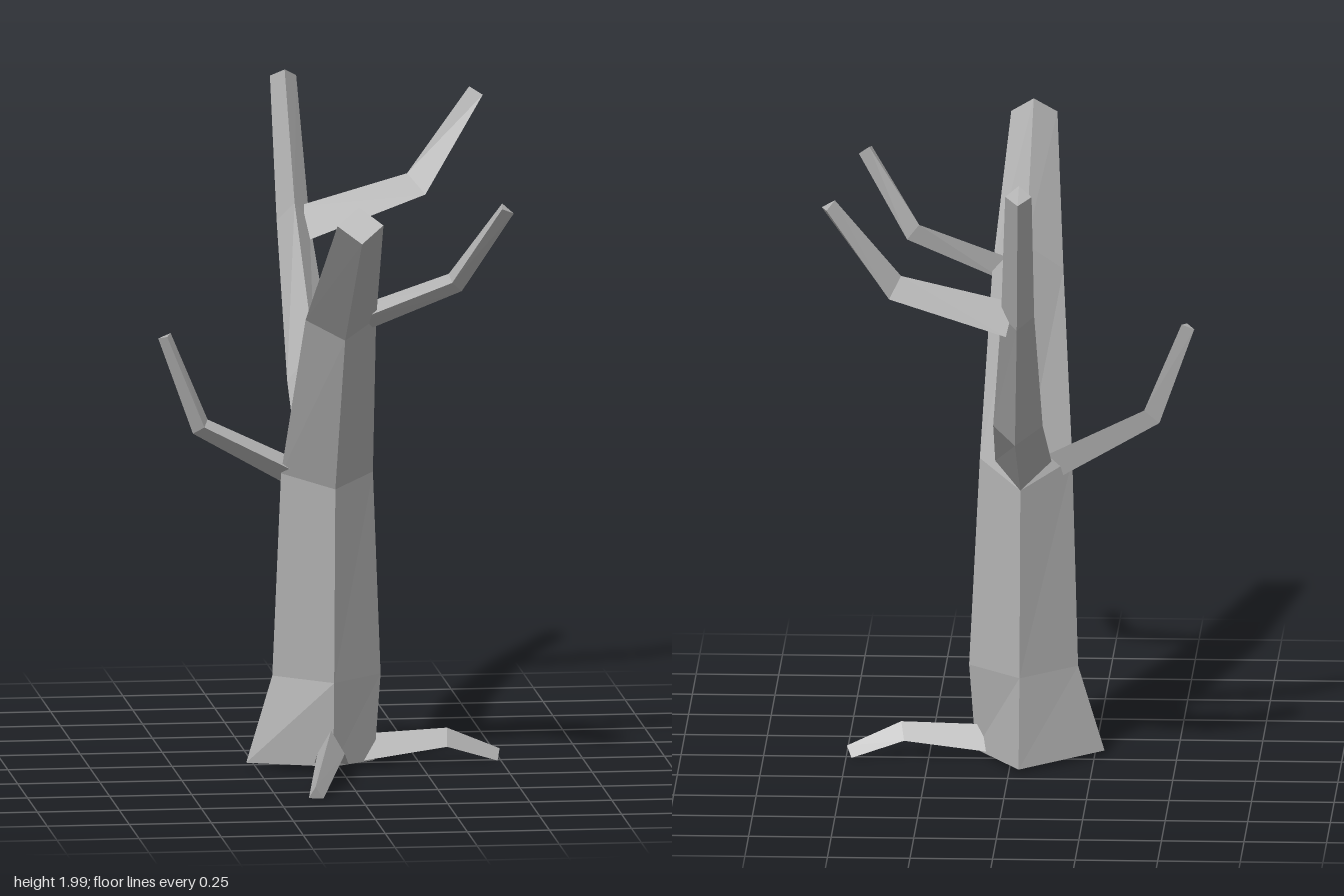
import * as THREE from 'three';

// Closed faceted skin through matching rings (each ring counterclockwise about its direction of travel)
function loft(rings) {
  const pos = [];
  const tri = (a, b, c) => pos.push(...a.toArray(), ...b.toArray(), ...c.toArray());
  const n = rings[0].length;
  for (let k = 0; k < rings.length - 1; k++) {
    const a = rings[k], b = rings[k + 1];
    for (let i = 0; i < n; i++) {
      const j = (i + 1) % n;
      tri(a[i], a[j], b[j]);
      tri(a[i], b[j], b[i]);
    }
  }
  const first = rings[0], last = rings[rings.length - 1];
  for (let i = 1; i < n - 1; i++) {
    tri(first[0], first[i + 1], first[i]);
    tri(last[0], last[i], last[i + 1]);
  }
  const g = new THREE.BufferGeometry();
  g.setAttribute('position', new THREE.Float32BufferAttribute(pos, 3));
  g.computeVertexNormals();
  return g;
}

// Diamond section: centre x, side corners, then (y, z) of front, sides and back
function diamond([x, xMin, xMax, yF, zF, yS, zS, yB, zB]) {
  return [
    new THREE.Vector3(x, yF, zF),
    new THREE.Vector3(xMax, yS, zS),
    new THREE.Vector3(x, yB, zB),
    new THREE.Vector3(xMin, yS, zS),
  ];
}

// Three-sided sections along a bent path of [x, y, z, radius]
function twigRings(path, phase) {
  const pts = path.map(([x, y, z]) => new THREE.Vector3(x, y, z));
  const up = new THREE.Vector3(0, 1, 0);
  return pts.map((p, k) => {
    const t = new THREE.Vector3();
    if (k > 0) t.add(p.clone().sub(pts[k - 1]).normalize());
    if (k < pts.length - 1) t.add(pts[k + 1].clone().sub(p).normalize());
    t.normalize();
    const side = up.clone().cross(t).normalize();
    const top = t.clone().cross(side);
    return [0, 120, 240].map((d) => {
      const a = THREE.MathUtils.degToRad(phase + d);
      return p.clone()
        .addScaledVector(side, path[k][3] * Math.cos(a))
        .addScaledVector(top, path[k][3] * Math.sin(a));
    });
  });
}

export function createModel() {
  const tree = new THREE.Group();
  tree.name = 'bareTree';
  const bark = new THREE.MeshStandardMaterial({ color: 0xb0b0b0, flatShading: true });
  bark.name = 'bark';

  const add = (name, rings) => {
    const mesh = new THREE.Mesh(loft(rings), bark);
    mesh.name = name;
    tree.add(mesh);
  };

  // Trunk with flared foot, continuing into the thick forward limb
  add('trunkAndFrontLimb', [
    [-0.03, -0.28, 0.11, 0.03, 0.18, 0.025, 0.05, 0.02, -0.18],
    [-0.03, -0.20, 0.13, 0.29, 0.20, 0.29, 0.045, 0.29, -0.12],
    [-0.03, -0.18, 0.10, 0.89, 0.23, 0.92, 0.10, 0.86, -0.06],
    [-0.03, -0.14, 0.075, 1.39, 0.48, 1.44, 0.39, 1.53, 0.33],
    [-0.03, -0.10, 0.04, 1.76, 0.91, 1.81, 0.87, 1.86, 0.83],
  ].map(diamond));

  // Long limb rising to the back; its upper edge faces front
  add('backLimb', [
    [-0.03, -0.12, 0.05, 1.05, 0.03, 0.93, 0.03, 0.86, -0.06],
    [-0.03, -0.11, 0.04, 1.22, -0.31, 1.13, -0.33, 1.09, -0.42],
    [-0.05, -0.10, 0.00, 1.62, -0.64, 1.56, -0.68, 1.53, -0.74],
    [-0.06, -0.10, -0.02, 2.00, -0.81, 1.975, -0.85, 1.96, -0.905],
  ].map(diamond));

  // Thin side branches
  add('backLimbBranch', twigRings([
    [-0.02, 1.54, -0.68, 0.065], [0.33, 1.65, -0.72, 0.05], [0.52, 1.925, -0.79, 0.028],
  ], 90));
  add('frontLimbBranch', twigRings([
    [0.02, 1.44, 0.40, 0.045], [0.31, 1.55, 0.415, 0.038], [0.46, 1.785, 0.48, 0.028],
  ], 50));
  add('rightTrunkBranch', twigRings([
    [-0.12, 0.91, 0.085, 0.048], [-0.42, 1.065, 0.085, 0.036], [-0.53, 1.345, 0.08, 0.024],
  ], 10));

  // Surface roots
  add('leftRoot', twigRings([
    [0.07, 0.055, 0.04, 0.05], [0.33, 0.08, 0.025, 0.036], [0.49, 0.022, 0.0, 0.024],
  ], 90));
  add('frontRoot', twigRings([
    [-0.03, 0.06, 0.13, 0.06], [-0.055, 0.12, 0.33, 0.048], [-0.135, 0.022, 0.615, 0.026],
  ], 90));

  return tree;
}
